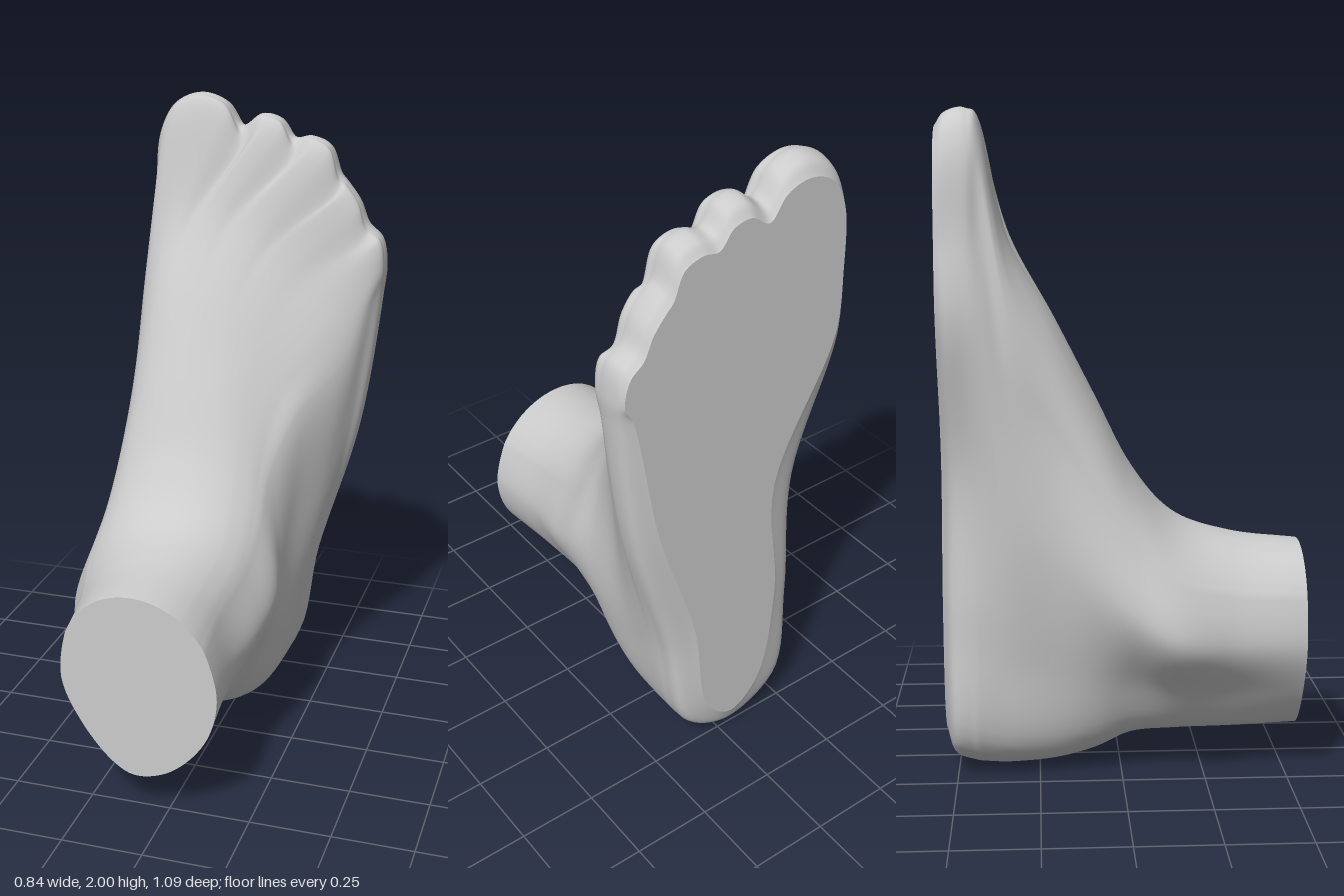
import * as THREE from 'three';

// Heights along each slice (0 = heel end, 1 = toe end) where the side widths are given
const U = [0.05, 0.25, 0.5, 0.75];

// Slices parallel to the sole: [z, heel y, heel x, end y, end x], outer side x, inner side x,
// then for the toes [share, scale, extra depth of the notches]
const footSlices = [
  [[-0.54, 0.10, -0.02, 1.85, -0.15], [0.08, 0.14, 0.28, 0.37], [-0.12, -0.17, -0.14, -0.33], [1, 0.93, 0]],
  [[-0.51, 0.035, -0.03, 1.85, -0.15], [0.13, 0.205, 0.335, 0.40], [-0.215, -0.24, -0.23, -0.365], [1, 0.985, 0]],
  [[-0.45, 0.01, -0.03, 1.85, -0.15], [0.13, 0.215, 0.34, 0.405], [-0.225, -0.265, -0.275, -0.372], [1, 1, 0.005]],
  [[-0.405, 0.003, -0.03, 1.81, -0.15], [0.125, 0.215, 0.315, 0.38], [-0.22, -0.27, -0.305, -0.368], [1, 0.92, 0.025]],
  [[-0.33, 0.00, -0.03, 1.57, -0.17], [0.115, 0.20, 0.265, 0.31], [-0.205, -0.27, -0.33, -0.352], [0.22, 0.92, 0.02]],
  [[-0.20, 0.01, -0.03, 1.40, -0.17], [0.105, 0.185, 0.20, 0.20], [-0.19, -0.275, -0.345, -0.342], [0, 1, 0]],
  [[-0.08, 0.045, -0.05, 1.165, -0.15], [0.08, 0.165, 0.185, 0.145], [-0.18, -0.285, -0.38, -0.355], [0, 1, 0]],
];
const ankleSlices = [
  [[0.03, 0.10, -0.07, 0.95, -0.13], [0.04, 0.14, 0.20, 0.145], [-0.18, -0.285, -0.41, -0.37], [0, 1, 0]],
  [[0.16, 0.115, -0.09, 0.80, -0.11], [0.015, 0.105, 0.182, 0.135], [-0.18, -0.29, -0.425, -0.38], [0, 1, 0]],
  [[0.34, 0.12, -0.10, 0.735, -0.10], [0.01, 0.105, 0.15, 0.115], [-0.17, -0.265, -0.36, -0.335], [0, 1, 0]],
  [[0.545, 0.125, -0.09, 0.71, -0.10], [0.015, 0.125, 0.163, 0.128], [-0.155, -0.255, -0.32, -0.305], [0, 1, 0]],
];

// Toe outline from the little toe to the big toe: [x, y], with 1 added at the notches
const toeLine = [
  [0.412, 1.48], [0.395, 1.57], [0.35, 1.615, 1],
  [0.32, 1.685], [0.28, 1.74], [0.255, 1.77, 1],
  [0.22, 1.855], [0.16, 1.88], [0.105, 1.875, 1],
  [0.06, 1.93], [0.00, 1.942], [-0.065, 1.905, 1],
  [-0.12, 1.975], [-0.20, 2.0], [-0.285, 1.965], [-0.335, 1.87], [-0.352, 1.65],
];
const TOE_MID = 0.03, TOE_HALF = 0.39;
const BALL_Y = 1.3; // the toe outline shrinks towards the ball of the foot
const A0 = Math.PI / 8; // angle where the rounded end leaves the sides

// Closed run of control points: heel, up the outer side, round the end, down the inner side
function sliceControls([[z, yb, xb, yt, xt], outer, inner, [share, scale, notch]]) {
  const at = (x, u) => new THREE.Vector3(x, yb + (yt - yb) * u, z);
  const mid = (outer[3] + inner[3]) / 2, half = (outer[3] - inner[3]) / 2;
  // The end is a leaning part of an ellipse, blended into the toe outline near the sole
  const end = toeLine.map(([x, y, isNotch = 0]) => {
    const a = A0 + Math.acos((x - TOE_MID) / TOE_HALF) * (1 - 2 * A0 / Math.PI);
    const rise = (Math.sin(a) - Math.sin(A0)) / (1 - Math.sin(A0));
    const arc = at(mid + half * Math.cos(a) / Math.cos(A0) + (xt - mid) * rise, 0.75 + 0.25 * rise);
    const toe = new THREE.Vector3(x * (0.5 + scale / 2), BALL_Y + (y - BALL_Y) * scale - notch * isNotch, z);
    return arc.lerp(toe, share);
  });
  return [
    at(xb, 0),
    ...U.map((u, i) => at(outer[i], u)),
    ...end,
    ...U.map((u, i) => at(inner[i], u)).reverse(),
  ];
}

// Smooth rings between the slices
function makeRings(slices, rows, cols) {
  const controls = slices.map(sliceControls);
  const tracks = controls[0].map((_, k) =>
    new THREE.CatmullRomCurve3(controls.map((c) => c[k]), false, 'catmullrom', 0.5));
  const rings = [];
  for (let i = 0; i <= rows; i++) {
    const ring = new THREE.CatmullRomCurve3(tracks.map((t) => t.getPoint(i / rows)), true, 'centripetal');
    rings.push(Array.from({ length: cols }, (_, j) => ring.getPoint(j / cols)));
  }
  return rings;
}

function skinGeometry(rings) {
  const cols = rings[0].length;
  const index = [];
  for (let i = 0; i < rings.length - 1; i++) {
    for (let j = 0; j < cols; j++) {
      const k = (j + 1) % cols;
      const a = i * cols + j, b = i * cols + k, c = b + cols, d = a + cols;
      index.push(a, b, c, a, c, d);
    }
  }
  const geo = new THREE.BufferGeometry().setFromPoints(rings.flat());
  geo.setIndex(index);
  geo.computeVertexNormals();
  return geo;
}

// Flat face filling one ring
function capGeometry(ring) {
  const geo = new THREE.ShapeGeometry(new THREE.Shape(ring.map((p) => new THREE.Vector2(p.x, p.y))));
  geo.translate(0, 0, ring[0].z);
  return geo;
}

export function createModel() {
  const group = new THREE.Group();
  group.name = 'foot';
  const skin = new THREE.MeshStandardMaterial({ color: 0xcccccc });
  const flat = new THREE.MeshStandardMaterial({ color: 0xcccccc, side: THREE.DoubleSide });
  const add = (name, geometry, material) => {
    const mesh = new THREE.Mesh(geometry, material);
    mesh.name = name;
    group.add(mesh);
  };

  // Foot, toes and ankle in one skin, closed by the sole and the cut of the leg
  const rings = makeRings([...footSlices, ...ankleSlices], 100, 208);
  add('footAndAnkle', skinGeometry(rings), skin);
  add('sole', capGeometry(rings[0]), flat);
  add('legCut', capGeometry(rings[rings.length - 1]), flat);
  return group;
}
